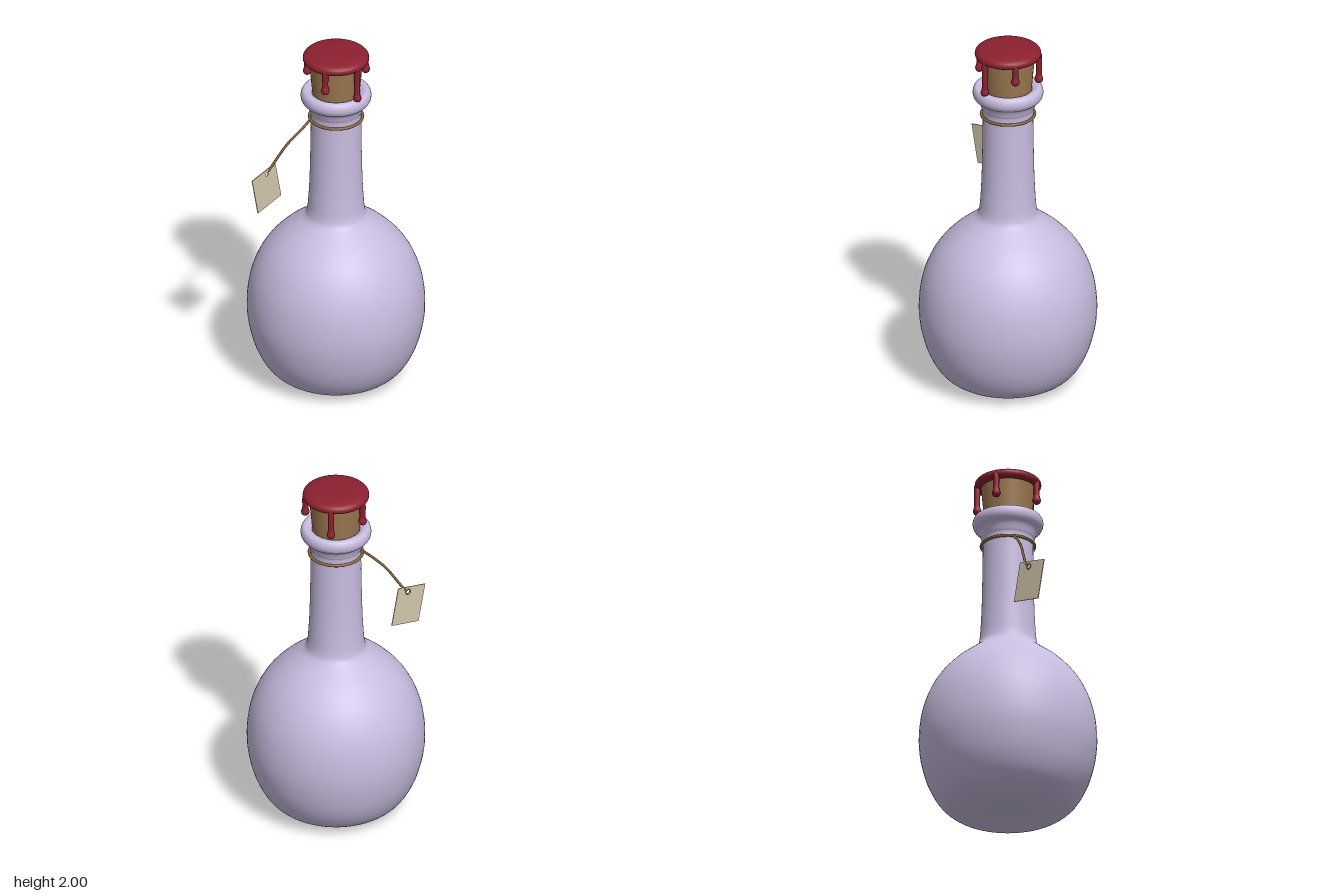
import * as THREE from 'three';

const V2 = (p) => new THREE.Vector2(p[0], p[1]);
const V3 = (p) => new THREE.Vector3(p[0], p[1], p[2]);
const mat = (name, color) => {
  const m = new THREE.MeshStandardMaterial({ color });
  m.name = name;
  return m;
};

export function createModel() {
  const model = new THREE.Group();
  const glass = mat('lilac glass', 0xc8bcdf);
  const corkMat = mat('cork', 0x9c7850);
  const waxMat = mat('red wax', 0x8c2030);
  const twine = mat('twine', 0x8a6540);
  const paper = mat('paper', 0xd4c8ae);
  const ringMat = mat('eyelet', 0xaaa088);

  const add = (parent, name, geometry, material) => {
    const mesh = new THREE.Mesh(geometry, material);
    mesh.name = name;
    parent.add(mesh);
    return mesh;
  };
  // Smooth profile through a few points
  const spline = (pts, n) => new THREE.SplineCurve(pts.map(V2)).getPoints(n);

  // Bottle: dished base, round belly, straight neck, rolled lip and inner bore
  const belly = spline([
    [0, 0.04], [0.12, 0.027], [0.2, 0.006], [0.24, 0.003], [0.32, 0.034], [0.385, 0.095],
    [0.44, 0.2], [0.474, 0.33], [0.483, 0.45], [0.469, 0.58], [0.435, 0.69], [0.38, 0.79],
    [0.3, 0.88], [0.22, 0.945], [0.172, 0.985], [0.156, 1.025], [0.149, 1.1], [0.143, 1.22],
    [0.139, 1.4], [0.137, 1.6], [0.145, 1.64], [0.159, 1.675], [0.177, 1.69], [0.189, 1.71],
    [0.191, 1.735], [0.182, 1.757], [0.165, 1.765], [0.143, 1.758], [0.128, 1.735], [0.115, 1.6],
  ], 150);
  add(model, 'bottle', new THREE.LatheGeometry(belly, 72), glass);

  // Tapered cork stopper
  const cork = add(model, 'cork', new THREE.CylinderGeometry(0.147, 0.117, 0.33, 48), corkMat);
  cork.position.y = 1.785;

  // Wax cap with softly rounded rim
  const wax = new THREE.Group();
  wax.name = 'waxSeal';
  model.add(wax);
  const cap = spline([
    [0, 1.936], [0.1, 1.936], [0.155, 1.937], [0.173, 1.943], [0.18, 1.958], [0.175, 1.974],
    [0.155, 1.987], [0.11, 1.996], [0.05, 2], [0, 2],
  ], 50);
  add(wax, 'waxCap', new THREE.LatheGeometry(cap, 64), waxMat);

  // Wax drips: x, z direction and lowest point
  const drips = [
    [-0.168, 0.07, 1.817], [-0.012, 0.18, 1.753], [0.154, 0.094, 1.84],
    [0.135, -0.125, 1.783], [-0.068, -0.168, 1.82],
  ];
  for (const [x, z, low] of drips) {
    const a = Math.atan2(x, z);
    const d = spline([
      [0, low], [0.016, low + 0.006], [0.023, low + 0.022], [0.0185, low + 0.043],
      [0.016, low + 0.06], [0.017, 1.94], [0.012, 1.965], [0, 1.972],
    ], 40);
    const drip = add(wax, 'waxDrip', new THREE.LatheGeometry(d, 16), waxMat);
    drip.position.set(Math.sin(a) * 0.167, 0, Math.cos(a) * 0.167);
  }

  // Twine loop round the neck
  const loop = add(model, 'neckTwine', new THREE.TorusGeometry(0.145, 0.008, 10, 64), twine);
  loop.rotation.x = Math.PI / 2;
  loop.position.y = 1.595;

  // Hanging twine, passing through the tag
  const path = new THREE.CatmullRomCurve3([
    [-0.122, 1.592, -0.078], [-0.17, 1.545, -0.095], [-0.235, 1.47, -0.135],
    [-0.28, 1.395, -0.165], [-0.312, 1.34, -0.184], [-0.333, 1.312, -0.192],
  ].map(V3));
  add(model, 'hangingTwine', new THREE.TubeGeometry(path, 40, 0.007, 8), twine);

  // Paper tag with a punched hole and eyelet
  const tag = new THREE.Group();
  tag.name = 'tag';
  tag.position.set(-0.348, 1.216, -0.19);
  tag.rotation.z = 0.206;
  model.add(tag);
  const w = 0.0935, h = 0.112;
  const sheet = new THREE.Shape([[-w, -h], [w, -h], [w, h], [-w, h]].map(V2));
  const hole = new THREE.Path();
  hole.absarc(0.02, 0.082, 0.011, 0, Math.PI * 2, true);
  sheet.holes.push(hole);
  const sheetGeo = new THREE.ExtrudeGeometry(sheet, { depth: 0.005, bevelEnabled: false, curveSegments: 20 });
  sheetGeo.translate(0, 0, -0.0025);
  add(tag, 'tagPaper', sheetGeo, paper);
  const eyelet = add(tag, 'tagEyelet', new THREE.TorusGeometry(0.015, 0.004, 8, 24), ringMat);
  eyelet.position.set(0.02, 0.082, -0.002);

  return model;
}
